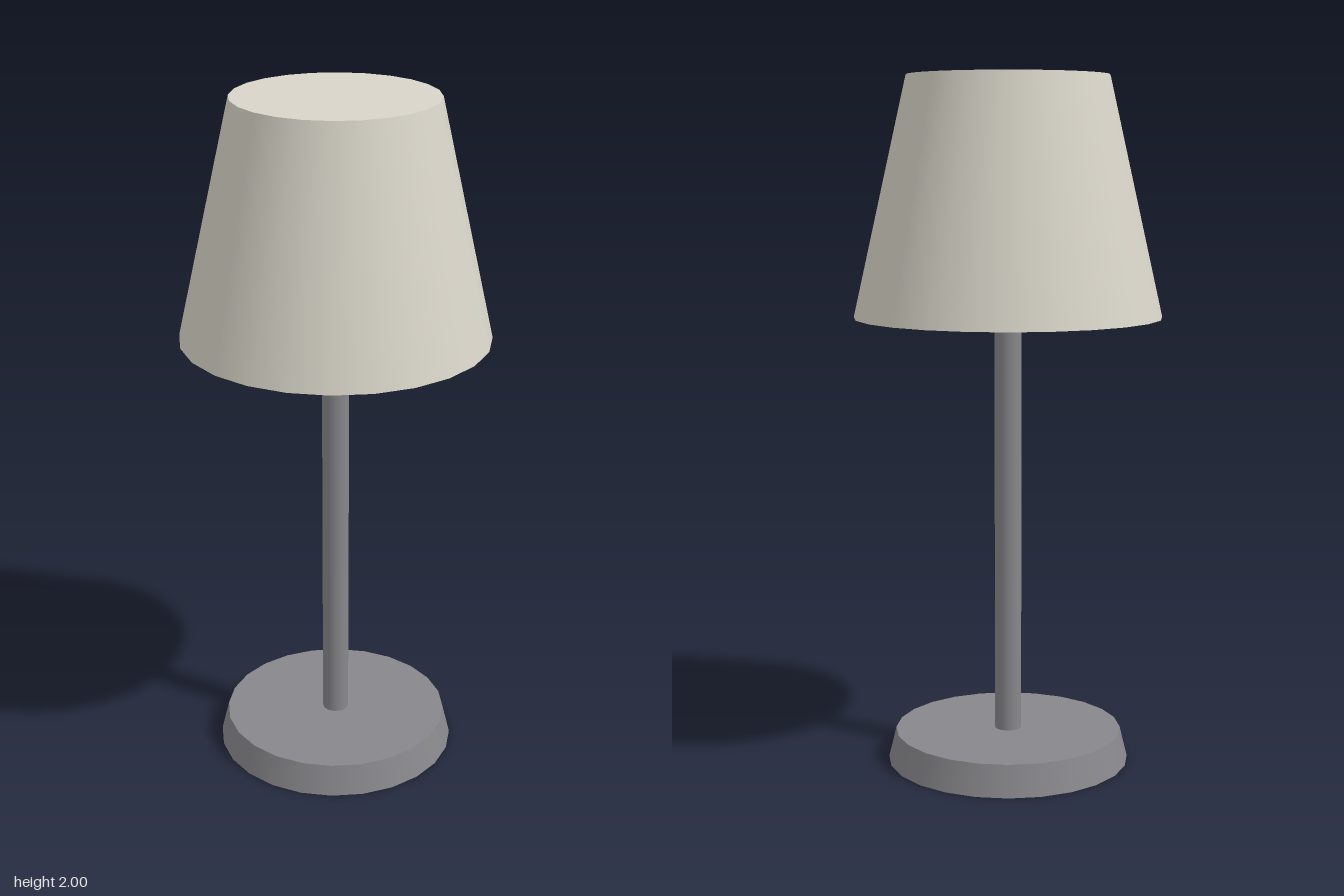
import * as THREE from 'three';

export function createModel() {
  const lamp = new THREE.Group();
  lamp.name = 'tableLamp';

  const fabric = new THREE.MeshStandardMaterial({ color: 0xd8d4c8 });
  fabric.name = 'warm white fabric';
  const metal = new THREE.MeshStandardMaterial({ color: 0x88888c });
  metal.name = 'grey metal';

  // Upright tapered cylinder between two heights
  function addTurned(name, material, topRadius, bottomRadius, y0, y1, sides) {
    const geometry = new THREE.CylinderGeometry(topRadius, bottomRadius, y1 - y0, sides);
    const mesh = new THREE.Mesh(geometry, material);
    mesh.name = name;
    mesh.position.y = (y0 + y1) / 2;
    lamp.add(mesh);
  }

  addTurned('base', metal, 0.333, 0.355, 0, 0.09, 24);
  addTurned('pole', metal, 0.039, 0.039, 0.09, 1.315, 12);
  addTurned('shade', fabric, 0.289, 0.444, 1.315, 2, 24);

  return lamp;
}
